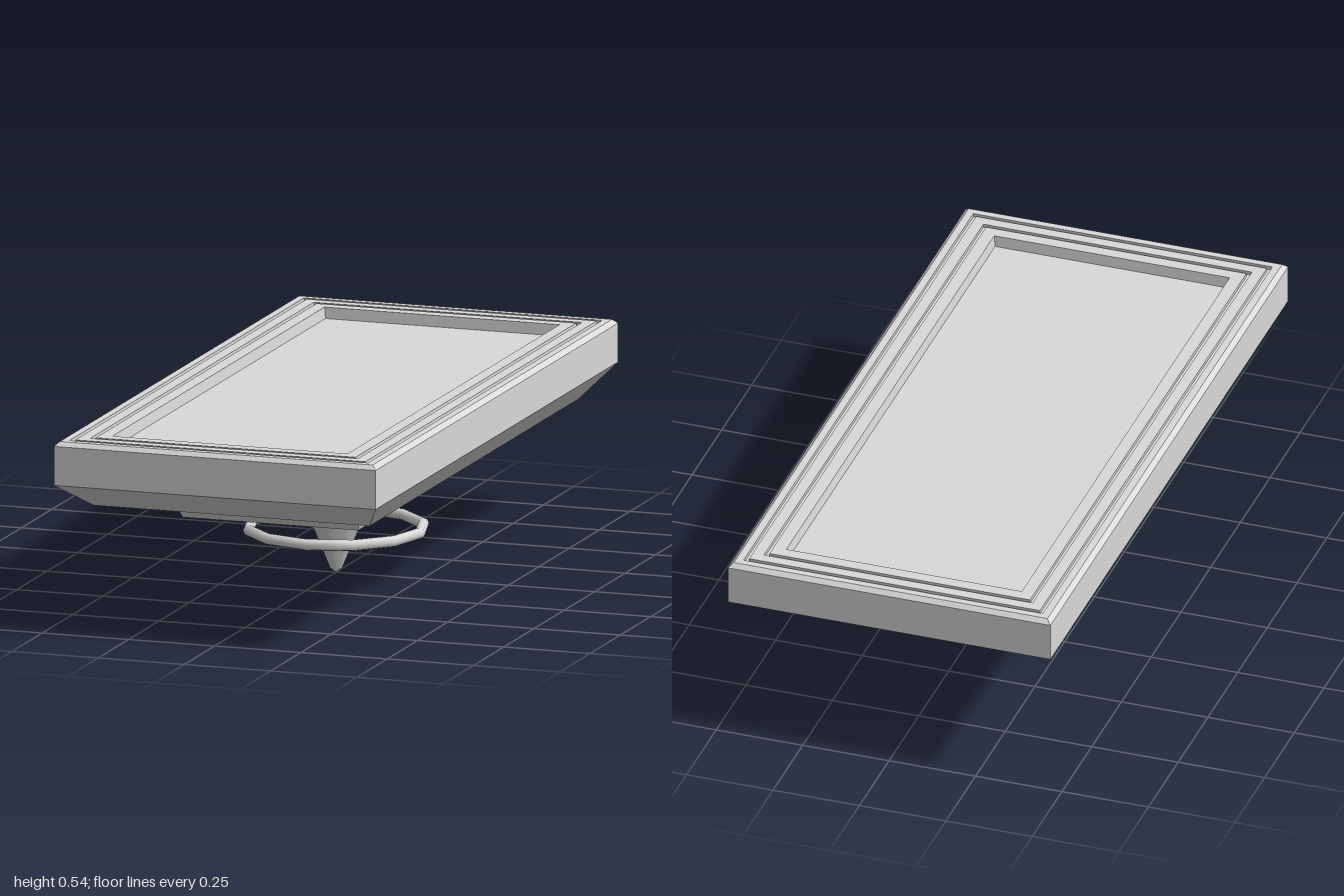
import * as THREE from 'three';

const CORNERS = [[1, 1], [1, -1], [-1, -1], [-1, 1]];

// Skin a stack of rectangular levels [halfX, halfZ, y], closed at both ends.
function rectStack(levels) {
  const pos = [];
  const point = ([hx, hz, y], i) => [CORNERS[i % 4][0] * hx, y, CORNERS[i % 4][1] * hz];
  const quad = (a, b, c, d) => pos.push(...a, ...b, ...c, ...a, ...c, ...d);
  for (let k = 0; k < levels.length - 1; k++) {
    const lo = levels[k], hi = levels[k + 1];
    for (let i = 0; i < 4; i++) quad(point(lo, i), point(lo, i + 1), point(hi, i + 1), point(hi, i));
  }
  const first = levels[0], last = levels[levels.length - 1];
  quad(point(first, 3), point(first, 2), point(first, 1), point(first, 0));
  quad(point(last, 0), point(last, 1), point(last, 2), point(last, 3));
  const geo = new THREE.BufferGeometry();
  geo.setAttribute('position', new THREE.Float32BufferAttribute(pos, 3));
  geo.computeVertexNormals();
  return geo;
}

export function createModel() {
  const group = new THREE.Group();
  const grey = new THREE.MeshStandardMaterial({ color: 0xd9d9d9 });
  grey.name = 'light grey';

  const add = (name, geometry, y = 0) => {
    const mesh = new THREE.Mesh(geometry, grey);
    mesh.name = name;
    mesh.position.y = y;
    group.add(mesh);
  };

  // Platform: sloped underside, bevelled rim with two fine grooves, sunken floor
  const W = 0.4665, L = 1, TOP = 0.537;
  const inset = (d, y) => [W - d, L - d, y];
  const platform = [[0.4, 0.86, 0.336], inset(0, 0.416), inset(0, 0.525), inset(0.013, TOP)];
  for (const d of [0.034, 0.078]) {
    platform.push(inset(d, TOP), inset(d, TOP - 0.01), inset(d + 0.012, TOP - 0.01), inset(d + 0.012, TOP));
  }
  platform.push(inset(0.126, TOP), inset(0.13, 0.506));
  add('platform', rectStack(platform));

  // Tapered block below the platform
  add('lowerBlock', rectStack([[0.254, 0.54, 0.247], [0.284, 0.607, 0.336]]));

  // Eight-sided spike with a blunt tip
  const spike = [[0, 0], [0.018, 0.014], [0.118, 0.247]].map(p => new THREE.Vector2(...p));
  add('spike', new THREE.LatheGeometry(spike, 8));

  // Ring floating around the spike
  const ring = new THREE.TorusGeometry(0.243, 0.016, 8, 12);
  ring.rotateX(Math.PI / 2);
  add('ring', ring, 0.127);

  return group;
}
